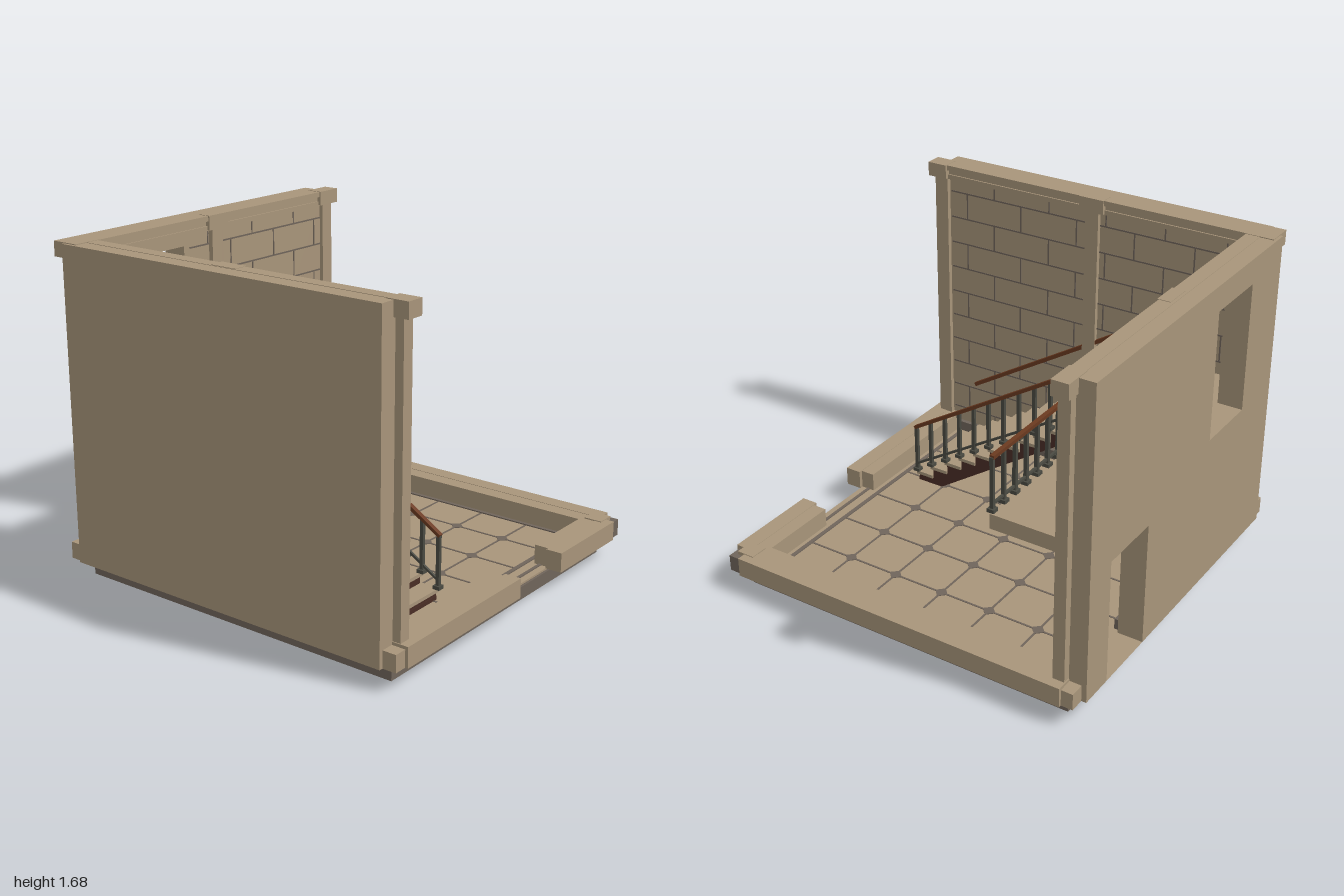
import * as THREE from 'three';

const mat = (name, color, side = THREE.FrontSide) => {
  const m = new THREE.MeshStandardMaterial({ color, side });
  m.name = name;
  return m;
};

export function createModel() {
  const stone = mat('sandstone', 0xa8957a);
  const grey = mat('grey stone', 0x70655b);
  const darkWood = mat('dark riser wood', 0x4a2e26);
  const railWood = mat('handrail wood', 0x6b3a20);
  const iron = mat('iron', 0x4a4a42);
  const root = new THREE.Group();

  const group = (name) => {
    const g = new THREE.Group();
    g.name = name;
    root.add(g);
    return g;
  };
  // Box given by its minimum and maximum on each axis
  const box = (parent, name, m, x0, x1, y0, y1, z0, z1) => {
    const mesh = new THREE.Mesh(new THREE.BoxGeometry(x1 - x0, y1 - y0, z1 - z0), m);
    mesh.position.set((x0 + x1) / 2, (y0 + y1) / 2, (z0 + z1) / 2);
    mesh.name = name;
    parent.add(mesh);
    return mesh;
  };
  // Square bar between two points
  const bar = (parent, name, m, a, b, w, h = w) => {
    const p = new THREE.Vector3(...a), q = new THREE.Vector3(...b);
    const mesh = new THREE.Mesh(new THREE.BoxGeometry(w, h, p.distanceTo(q)), m);
    mesh.position.copy(p).add(q).multiplyScalar(0.5);
    mesh.lookAt(q);
    mesh.name = name;
    parent.add(mesh);
  };

  // Plinth and floor
  const base = group('base');
  box(base, 'plinth', grey, -0.88, 0.88, 0.01, 0.075, -0.91, 0.91);
  box(base, 'plinthLedge', grey, -0.87, 0.87, 0.075, 0.09, -0.9, 0.9);
  box(base, 'floor', stone, -0.885, 0.885, 0.09, 0.1, -0.915, 0.915);
  const step = 0.2745, ft = 0.1025;
  for (let i = -2; i <= 2; i++) {
    box(base, 'floorJoint', grey, i * step - 0.005, i * step + 0.005, 0.099, ft, -0.83, 0.8);
    box(base, 'floorJoint', grey, -0.8, 0.77, 0.099, ft, i * step - 0.005, i * step + 0.005);
    for (let j = -2; j <= 2; j++) {
      const d = box(base, 'floorDiamond', grey, -0.025, 0.025, 0.099, 0.104, -0.025, 0.025);
      d.position.x = i * step;
      d.position.z = j * step;
      d.rotation.y = Math.PI / 4;
    }
  }
  box(base, 'floorBorderFront', grey, -0.79, 0.79, 0.099, 0.106, 0.795, 0.815);
  box(base, 'floorBorderRight', grey, 0.775, 0.795, 0.099, 0.106, -0.83, 0.815);

  // Low curbs along the open sides, with an entrance gap in front
  const curb = group('curb');
  box(curb, 'frontCurbOuter', stone, -0.885, 0, 0.1, 0.2, 0.915, 1);
  box(curb, 'frontCurbOuter', stone, 0.365, 0.88, 0.1, 0.2, 0.915, 1);
  box(curb, 'frontCurbInner', stone, -0.85, -0.02, 0.1, 0.198, 0.84, 0.915);
  box(curb, 'frontCurbInner', stone, 0.385, 0.885, 0.1, 0.198, 0.84, 0.915);
  box(curb, 'threshold', grey, -0.02, 0.385, 0.099, 0.106, 0.865, 0.88);
  box(curb, 'rightCurbOuter', stone, 0.885, 0.97, 0.1, 0.2, -0.915, 0.915);
  box(curb, 'rightCurbInner', stone, 0.805, 0.885, 0.1, 0.198, -0.87, 0.84);
  box(curb, 'cornerBlock', stone, 0.83, 0.925, 0.1, 0.204, 0.86, 0.955);
  box(curb, 'cornerFoot', grey, 0.87, 0.955, 0.1, 0.185, 0.9, 0.985);

  // Back wall with a doorway and an upper window
  const openings = [[0.365, 0.7, 0.1, 0.74], [-0.57, -0.22, 0.89, 1.55]];
  const rect = (T, x0, x1, y0, y1) =>
    new T([[x0, y0], [x1, y0], [x1, y1], [x0, y1]].map((p) => new THREE.Vector2(...p)));
  const walls = group('walls');
  const backShape = rect(THREE.Shape, -0.885, 0.88, 0.1, 1.68);
  openings.forEach((o) => backShape.holes.push(rect(THREE.Path, ...o)));
  const back = new THREE.Mesh(new THREE.ExtrudeGeometry(backShape, { depth: 0.13, bevelEnabled: false }), stone);
  back.position.z = -1;
  back.name = 'backWall';
  walls.add(back);
  box(walls, 'leftWall', stone, -0.97, -0.845, 0.1, 1.68, -0.915, 0.915);

  // Masonry joints: put(u0, u1, y0, y1) draws one thin strip on a wall
  const masonry = (uMin, uMax, holes, put) => {
    const rowH = 0.1439, w = 0.004, pad = 0.04;
    const hit = (o, y0, y1) => y1 > o[2] - pad && y0 < o[3] + pad;
    for (let k = -1; k < 10; k++) {
      const y = 0.24 + k * rowH;
      const top = Math.min(y + rowH, 1.6);
      if (k >= 0) {
        let start = uMin;
        holes.filter((o) => hit(o, y, y)).forEach((o) => {
          put(start, o[0] - pad, y - w, y + w);
          start = o[1] + pad;
        });
        put(start, uMax, y - w, y + w);
      }
      for (let u = uMin + (k % 2 ? 0.12 : 0.29); u < uMax; u += 0.335) {
        const blocked = holes.some((o) => hit(o, y, top) && u > o[0] - pad && u < o[1] + pad);
        if (!blocked) put(u - w, u + w, Math.max(y, 0.11), top);
      }
    }
  };
  const joints = group('masonryJoints');
  masonry(-0.84, 0.85, openings, (a, b, c, d) => box(joints, 'backJoint', grey, a, b, c, d, -0.872, -0.8675));
  masonry(-0.86, 0.87, [], (a, b, c, d) => box(joints, 'leftJoint', grey, -0.847, -0.8425, c, d, a, b));

  // Cornices and baseboards
  const trim = group('trim');
  const layers = [[1.655, 1.682, 0.028], [1.63, 1.655, 0.012], [1.605, 1.63, 0.02]];
  layers.forEach(([y0, y1, out]) => {
    box(trim, 'backCornice', stone, -0.85, 0.88, y0, y1, -0.915, -0.87 + out);
    box(trim, 'leftCornice', stone, -0.885, -0.845 + out, y0, y1, -0.88, 0.915);
  });
  box(trim, 'backBaseboard', grey, -0.85, 0.345, 0.1, 0.155, -0.88, -0.84);
  box(trim, 'backBaseboard', grey, 0.72, 0.86, 0.1, 0.155, -0.88, -0.84);
  box(trim, 'leftBaseboard', grey, -0.85, -0.822, 0.1, 0.155, -0.87, 0.88);

  // Pilasters: shaft, base and capital footprints [x0, x1, z0, z1]
  const pilasters = group('pilasters');
  const pilaster = (shaft, foot, cap) => {
    const put = (n, f, y0, y1) => box(pilasters, n, stone, f[0], f[1], y0, y1, f[2], f[3]);
    put('shaft', shaft, 0.1, 1.66);
    put('foot', foot, 0.1, 0.185);
    put('capital', cap, 1.61, 1.684);
  };
  pilaster([-0.04, 0.037, -0.9, -0.845], [-0.06, 0.06, -0.9, -0.835], [-0.07, 0.07, -0.9, -0.835]);
  pilaster([-0.88, -0.82, -0.037, 0.037], [-0.88, -0.81, -0.06, 0.06], [-0.88, -0.808, -0.07, 0.07]);
  pilaster([-0.88, -0.82, 0.88, 0.957], [-0.95, -0.81, 0.86, 0.985], [-0.895, -0.805, 0.88, 0.99]);
  pilaster([0.845, 0.92, -0.91, -0.85], [0.83, 0.955, -0.975, -0.84], [0.81, 0.955, -0.92, -0.835]);
  pilaster([-0.93, -0.82, -0.96, -0.85], [-0.955, -0.81, -0.985, -0.84], [-0.955, -0.81, -0.985, -0.84]);

  // Upper landing
  const landing = group('landing');
  box(landing, 'landingSlab', stone, -0.845, 0.86, 0.815, 0.89, -0.88, -0.485);

  // Staircase: dark stepped body with stone treads
  const stairs = group('stairs');
  const n = 13, rise = 0.0564, run = 0.0917, zFront = 0.7, slab = 0.018;
  const treadY = (i) => 0.1 + rise * i;
  const profile = [[zFront, 0.1]];
  for (let i = 1; i <= n; i++) {
    const z = zFront - run * (i - 1);
    profile.push([z, treadY(i) - slab], [z - run, treadY(i) - slab]);
    box(stairs, 'tread', stone, -0.845, -0.24, treadY(i) - slab, treadY(i), z - run, z + 0.01);
  }
  profile.push([-0.492, 0.8], [0.555, 0.1]);
  const bodyShape = new THREE.Shape(profile.map((p) => new THREE.Vector2(...p)));
  const bodyGeo = new THREE.ExtrudeGeometry(bodyShape, { depth: 0.595, bevelEnabled: false });
  bodyGeo.rotateY(-Math.PI / 2);
  const body = new THREE.Mesh(bodyGeo, darkWood);
  body.position.x = -0.25;
  body.name = 'stairBody';
  stairs.add(body);
  box(stairs, 'lowestRiser', darkWood, -0.815, -0.25, 0, 0.12, 0.695, 0.703);

  // Railings along the stairs and the landing edge
  const railing = group('railing');
  const post = (x, z, y0, y1) => {
    box(railing, 'baluster', iron, x - 0.009, x + 0.009, y0, y1, z - 0.009, z + 0.009);
    box(railing, 'balusterFoot', iron, x - 0.018, x + 0.018, y0, y0 + 0.018, z - 0.018, z + 0.018);
  };
  const rx = -0.25, rz = -0.485, z0 = 0.71, yLow = 0.42, yHigh = 1.16;
  for (let j = 0; j <= n; j++) {
    const t = j / n;
    post(rx, z0 + (rz - z0) * t, treadY(j + 1), yLow + (yHigh - yLow) * t);
  }
  for (let j = 1; j <= 12; j++) post(rx + 0.0905 * j, rz, 0.89, yHigh);
  bar(railing, 'stairHandrail', railWood, [rx, yLow, z0 + 0.008], [rx, yHigh, rz], 0.022, 0.018);
  bar(railing, 'stairLowerRail', iron, [rx, 0.2, z0], [rx, 0.93, rz], 0.012);
  bar(railing, 'landingHandrail', railWood, [rx - 0.01, yHigh, rz], [0.84, yHigh, rz], 0.022, 0.018);
  bar(railing, 'landingLowerRail', iron, [rx, 0.927, rz], [0.836, 0.927, rz], 0.012);
  bar(railing, 'wallHandrail', railWood, [-0.834, yLow, z0 + 0.01], [-0.834, yHigh, rz], 0.022, 0.02);

  return root;
}
